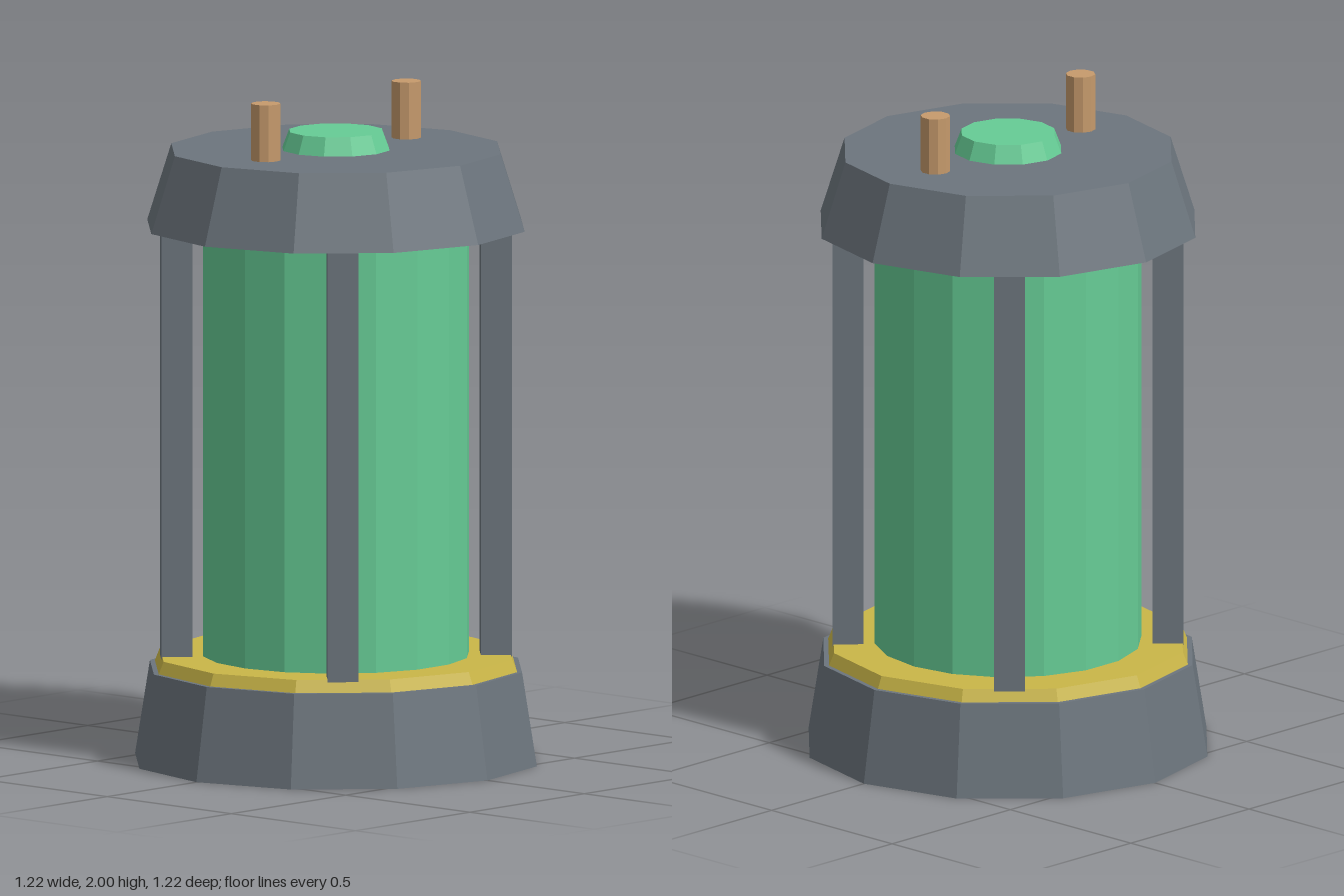
import * as THREE from 'three';

const material = (name, color) => {
  const m = new THREE.MeshStandardMaterial({ color, flatShading: true });
  m.name = name;
  return m;
};

export function createModel() {
  const model = new THREE.Group();
  model.name = 'canister';
  const grey = material('slate grey', 0x6c757d);
  const green = material('glowing green', 0x66cc95);
  const yellow = material('warning yellow', 0xcab648);
  const copper = material('copper', 0xc69a6c);

  const add = (name, geometry, mat, x, y, z) => {
    const mesh = new THREE.Mesh(geometry, mat);
    mesh.name = name;
    mesh.position.set(x, y, z);
    model.add(mesh);
    return mesh;
  };

  // Upright tapered cylinder between two heights
  const drum = (name, mat, rBottom, rTop, y0, y1, sides = 12, x = 0) =>
    add(name, new THREE.CylinderGeometry(rTop, rBottom, y1 - y0, sides), mat, x, (y0 + y1) / 2, 0);

  // Base, accent ring, core and cap
  drum('base', grey, 0.61, 0.565, 0, 0.28);
  drum('accentRing', yellow, 0.55, 0.535, 0.28, 0.317);
  drum('core', green, 0.397, 0.397, 0.31, 1.61, 18).rotation.y = Math.PI / 2;
  drum('cap', grey, 0.573, 0.5, 1.6, 1.83);

  // Raised button on the cap
  drum('capButton', green, 0.163, 0.142, 1.83, 1.885);

  // Four corner posts, turned to face outward
  for (const sx of [-1, 1]) {
    for (const sz of [-1, 1]) {
      const post = add('post', new THREE.BoxGeometry(0.092, 1.3, 0.092), grey, sx * 0.335, 0.96, sz * 0.335);
      post.rotation.y = Math.PI / 4;
    }
  }

  // Terminals on top
  for (const side of [-1, 1]) {
    drum('terminal', copper, 0.044, 0.044, 1.82, 2, 10, side * 0.307);
  }

  return model;
}
